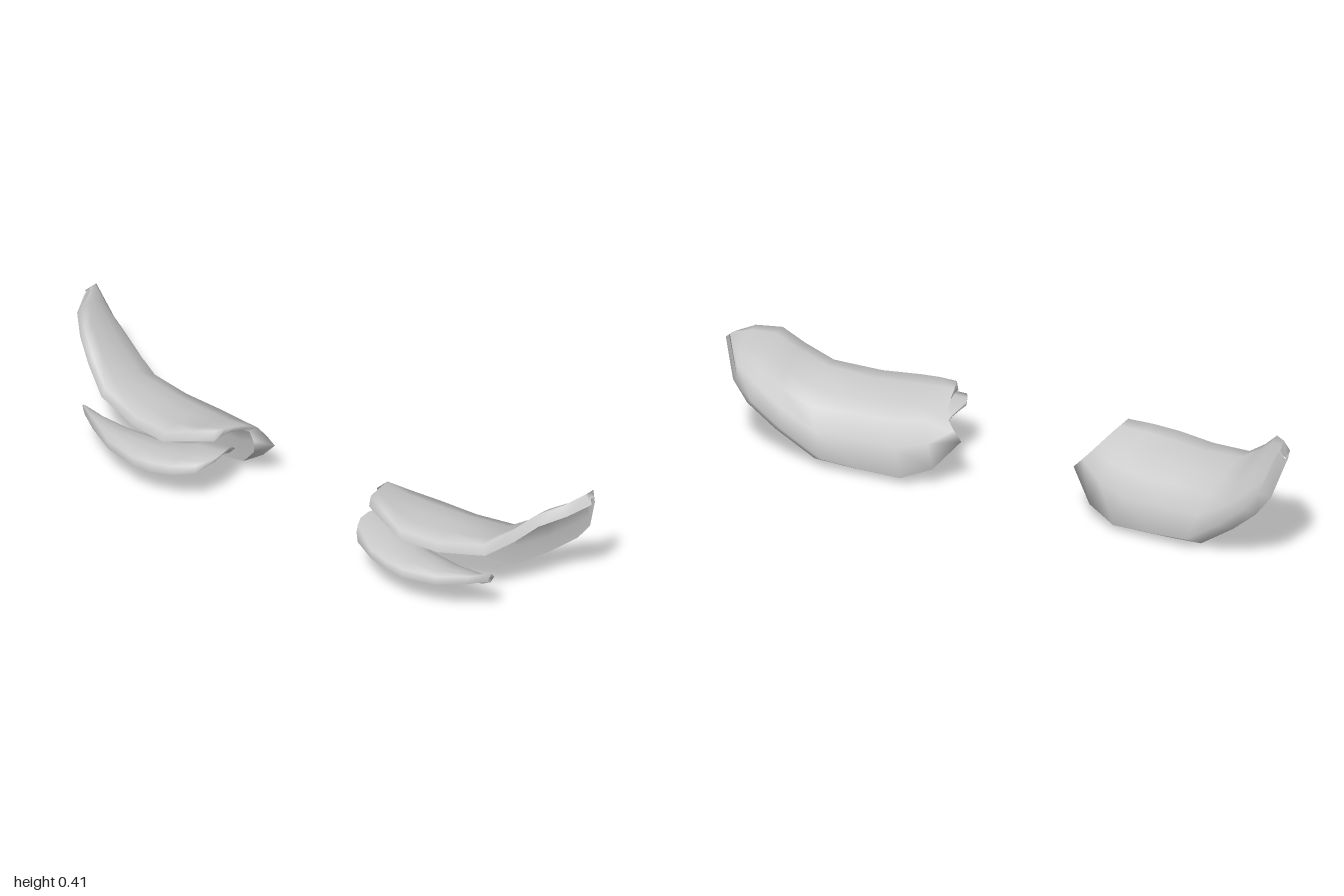
import * as THREE from 'three';
import { mergeGeometries, mergeVertices } from 'three/addons/utils/BufferGeometryUtils.js';

const ROWS = 6; // strips from front edge to back edge
const material = new THREE.MeshStandardMaterial({ color: 0xcccccc, side: THREE.DoubleSide });

// Each cross-section runs over the top from the front edge to the back edge: [x, y, z].
const UPPER = {
  sections: [
    [[.305, .27, .09], [.285, .25, .01], [.255, .214, -.07], [.2, .155, -.088]],
    [[.38, .255, .12], [.37, .237, .02], [.33, .2, -.09], [.28, .06, -.135]],
    [[.46, .235, .148], [.46, .228, .02], [.43, .19, -.11], [.38, .02, -.165]],
    [[.59, .23, .128], [.58, .228, 0], [.57, .187, -.12], [.52, .03, -.18]],
    [[.74, .253, .085], [.73, .246, -.01], [.71, .193, -.14], [.65, .04, -.19]],
    [[.82, .315, .04], [.82, .307, -.05], [.81, .25, -.16], [.78, .13, -.215]],
    [[.88, .375, 0], [.885, .362, -.08], [.885, .315, -.17], [.875, .21, -.23]],
    [[.94, .4, -.07], [.945, .387, -.13], [.945, .352, -.185], [.93, .28, -.225]],
    [[.97, .409, -.155], [.973, .41, -.167], [.975, .41, -.179], [.975, .409, -.191]],
  ],
  // thickness offsets at the inner and outer end, for the front and back edge
  front: [[0, -.035, .01], [.025, -.03, 0]],
  back: [[.05, -.02, .043], [.025, -.022, .026]],
};

const LOWER = {
  sections: [
    [[.315, .184, .182], [.283, .19, .115], [.29, .18, .03], [.31, .135, -.025]],
    [[.39, .168, .212], [.39, .175, .13], [.4, .148, .01], [.4, .085, -.022]],
    [[.46, .16, .226], [.46, .167, .145], [.46, .141, .045], [.465, .067, .008]],
    [[.53, .157, .23], [.53, .164, .15], [.53, .136, .07], [.54, .06, .033]],
    [[.645, .162, .206], [.64, .165, .15], [.65, .137, .085], [.65, .08, .04]],
    [[.74, .177, .163], [.75, .172, .13], [.75, .147, .09], [.73, .105, .055]],
    [[.8, .19, .128], [.8, .187, .12], [.795, .172, .105], [.785, .15, .085]],
  ],
  front: [[.005, -.035, 0], [-.01, -.033, 0]],
  back: [[.01, -.01, .02], [0, -.01, .02]],
};

// Surface over a grid of points; columns run to +x, rows to the back
function gridSurface(columns, flip = false) {
  const n = columns[0].length;
  const index = [];
  for (let i = 0; i < columns.length - 1; i++) {
    for (let j = 0; j < n - 1; j++) {
      const a = i * n + j, b = a + n;
      if (flip) index.push(a, a + 1, b, b, a + 1, b + 1);
      else index.push(a, b, a + 1, b, b + 1, a + 1);
    }
  }
  const geometry = new THREE.BufferGeometry().setFromPoints(columns.flat());
  geometry.setIndex(index);
  return geometry;
}

function addMesh(group, name, geometry) {
  geometry.computeVertexNormals();
  const mesh = new THREE.Mesh(geometry, material);
  mesh.name = name;
  group.add(mesh);
}

// Curved plate: a top surface rolling over into its rim, and an underside
function makePlate(name, spec, side) {
  const vec = (p) => new THREE.Vector3(...p);
  const last = spec.sections.length - 1;
  let top = spec.sections.map((s) => new THREE.CatmullRomCurve3(s.map(vec)).getPoints(ROWS));
  let under = top.map((column, i) => {
    const front = vec(spec.front[0]).lerp(vec(spec.front[1]), i / last);
    const back = vec(spec.back[0]).lerp(vec(spec.back[1]), i / last);
    return column.map((p, j) => {
      const thinning = 1 - 0.5 * Math.sin(Math.PI * j / ROWS); // thinner away from the rim
      return p.clone().addScaledVector(front.clone().lerp(back, j / ROWS), thinning);
    });
  });
  if (side < 0) {
    // mirrored plate: reversing the columns keeps them running to +x
    const mirror = (cols) => cols.map((c) => c.map((p) => new THREE.Vector3(-p.x, p.y, p.z))).reverse();
    top = mirror(top);
    under = mirror(under);
  }

  // Perimeter walked along the front, up the end, along the back and home again
  const perimeter = (cols) => [
    ...cols.map((c) => c[0]),
    ...cols[last].slice(1),
    ...cols.slice(0, last).reverse().map((c) => c[ROWS]),
    ...cols[0].slice(0, ROWS).reverse(),
  ];
  const underEdge = perimeter(under);
  const rim = perimeter(top).map((p, i) => [p, underEdge[i]]);

  const group = new THREE.Group();
  group.name = name;
  addMesh(group, 'topAndRim', mergeVertices(mergeGeometries([gridSurface(top), gridSurface(rim, true)])));
  addMesh(group, 'underside', gridSurface(under, true));
  return group;
}

export function createModel() {
  const model = new THREE.Group();
  model.name = 'curvedPlates';
  for (const [side, label] of [[1, 'left'], [-1, 'right']]) {
    model.add(makePlate(label + 'UpperPlate', UPPER, side));
    model.add(makePlate(label + 'LowerPlate', LOWER, side));
  }
  return model;
}
